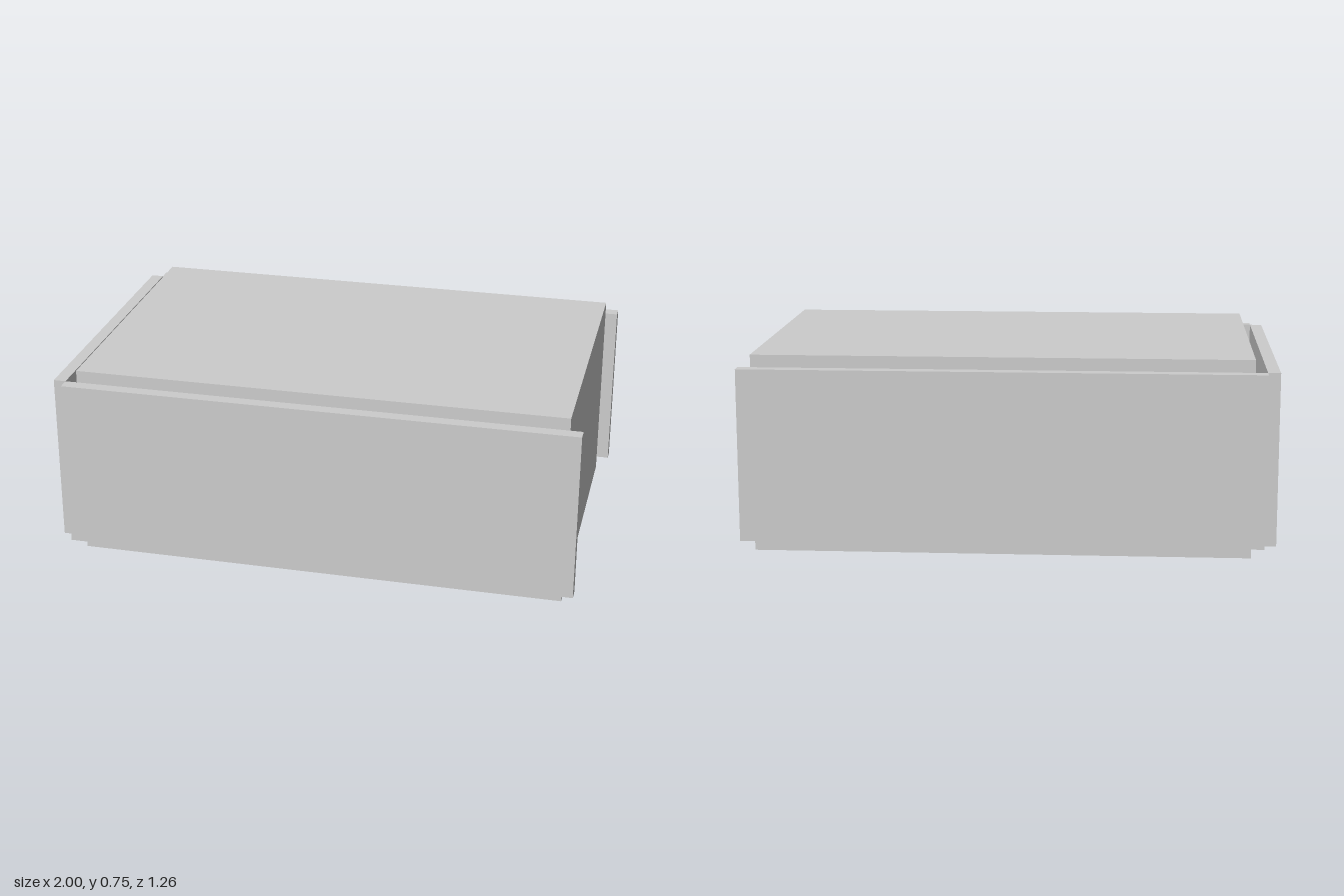
import * as THREE from 'three';

export function createModel() {
  const model = new THREE.Group();
  const grey = new THREE.MeshStandardMaterial({ color: 0xcccccc });
  grey.name = 'light grey';

  // Box given by its lower and upper corners
  const slab = (name, [x0, y0, z0], [x1, y1, z1]) => {
    const mesh = new THREE.Mesh(new THREE.BoxGeometry(x1 - x0, y1 - y0, z1 - z0), grey);
    mesh.name = name;
    mesh.position.set((x0 + x1) / 2, (y0 + y1) / 2, (z0 + z1) / 2);
    model.add(mesh);
  };

  const low = 0.047, high = 0.7; // panel heights
  const inner = 0.58, outer = 0.628; // panel depths

  // Main block
  slab('body', [-0.908, 0, -inner], [0.953, 0.747, inner]);

  // Front and back panels, overhanging the ends of the block
  slab('frontPanel', [-0.953, low, inner], [1, high, outer]);
  slab('backPanel', [-0.953, low, -outer], [1, high, -inner]);

  // End panel, standing clear of the block
  slab('sidePanel', [-1, low, -inner], [-0.953, high, inner]);

  return model;
}
